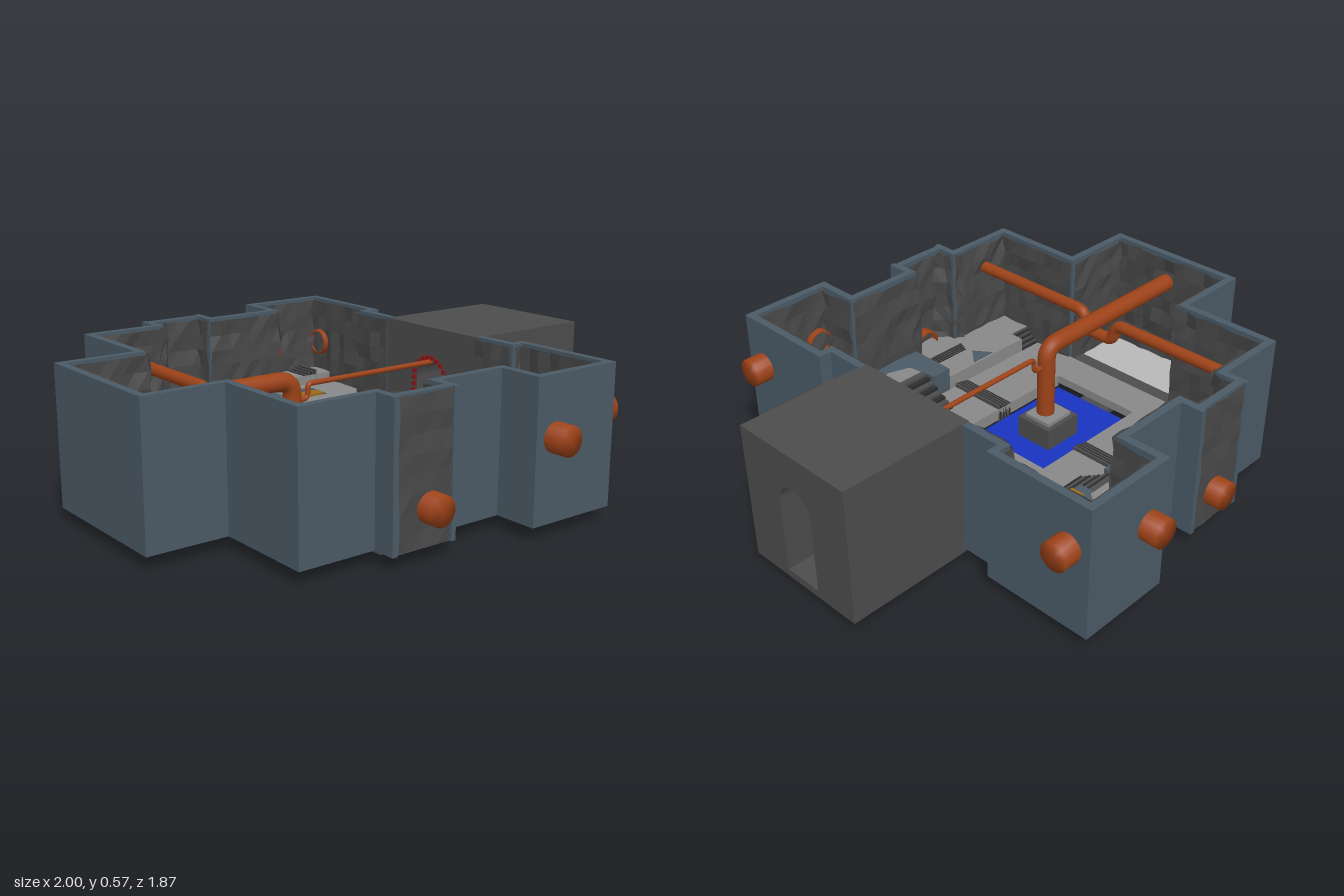
import * as THREE from 'three';

const mat = (color, extra = {}) => new THREE.MeshStandardMaterial({ color, ...extra });
const M = {
  slate: mat(0x4a5a66), rock: mat(0x484848, { flatShading: true, side: THREE.DoubleSide }),
  stone: mat(0x4c4c4c), floor: mat(0x888888), pale: mat(0xb8b8b8), dark: mat(0x2c2c2c),
  pipe: mat(0x9c4218, { side: THREE.DoubleSide }), water: mat(0x1833c0), red: mat(0x8a1418), wood: mat(0x9a6a18),
};

let seed = 7;
const rnd = () => (seed = (seed * 16807) % 2147483647) / 2147483647;

export function createModel() {
  const root = new THREE.Group();
  const add = (name, geo, material) => {
    const m = new THREE.Mesh(geo, material);
    m.name = name;
    root.add(m);
    return m;
  };
  // Box given by its x, y and z ranges
  const box = (name, x0, x1, y0, y1, z0, z1, material) =>
    add(name, new THREE.BoxGeometry(x1 - x0, y1 - y0, z1 - z0), material)
      .position.set((x0 + x1) / 2, (y0 + y1) / 2, (z0 + z1) / 2);
  // Upright prism over a plan of [x, z] points
  const slab = (name, pts, y0, y1, material, holes = []) => {
    const toV = (p) => new THREE.Vector2(p[0], -p[1]);
    const shape = new THREE.Shape(pts.map(toV));
    holes.forEach((h) => shape.holes.push(new THREE.Path(h.map(toV))));
    const geo = new THREE.ExtrudeGeometry(shape, { depth: y1 - y0, bevelEnabled: false });
    geo.rotateX(-Math.PI / 2).translate(0, y0, 0);
    return add(name, geo, material);
  };
  const rect = (x0, x1, z0, z1) => [[x0, z0], [x1, z0], [x1, z1], [x0, z1]];
  // Stub pipe, hollow at its inner end a and closed at its outer end b
  const stub = (name, a, b, r) => {
    const p = new THREE.Vector3(...a), q = new THREE.Vector3(...b), h = p.distanceTo(q) / 2;
    const profile = [[r * 0.85, -h], [r, -h], [r, h], [0, h]].map((c) => new THREE.Vector2(...c));
    const m = add(name, new THREE.LatheGeometry(profile, 20), M.pipe);
    m.position.copy(p).lerp(q, 0.5);
    m.quaternion.setFromUnitVectors(new THREE.Vector3(0, 1, 0), q.sub(p).normalize());
  };
  // Pipe along points, with rounded elbows
  const pipe = (name, pts, r, bend) => {
    const v = pts.map((p) => new THREE.Vector3(...p)), path = new THREE.CurvePath();
    const toward = (a, b) => a.clone().add(b.clone().sub(a).setLength(bend));
    let from = v[0];
    for (let i = 1; i < v.length - 1; i++) {
      const start = toward(v[i], v[i - 1]), end = toward(v[i], v[i + 1]);
      path.add(new THREE.LineCurve3(from, start));
      path.add(new THREE.QuadraticBezierCurve3(start, v[i], end));
      from = end;
    }
    path.add(new THREE.LineCurve3(from, v[v.length - 1]));
    add(name, new THREE.TubeGeometry(path, 120, r, 16), M.pipe);
  };
  // Rough sheet of rock from a to b in plan, bulging toward the normal n
  const rockSheet = (name, a, b, n, y0, y1, bulge) => {
    const len = Math.hypot(b[0] - a[0], b[1] - a[1]);
    const geo = new THREE.PlaneGeometry(len, y1 - y0, Math.max(2, Math.round(len / 0.05)), 8);
    const p = geo.attributes.position;
    for (let i = 0; i < p.count; i++) {
      const t = p.getX(i) / len + 0.5, y = p.getY(i) + (y0 + y1) / 2, d = 0.003 + rnd() * bulge;
      p.setXYZ(i, a[0] + (b[0] - a[0]) * t + n[0] * d, y, a[1] + (b[1] - a[1]) * t + n[1] * d);
    }
    geo.computeVertexNormals();
    add(name, geo, M.rock);
  };

  // Perimeter: front half of the plan, mirrored for the back
  const half = [[0.49, 0.26], [0.49, 0.42], [0.54, 0.42], [0.54, 0.865], [0.16, 0.865], [0.16, 0.695],
    [-0.12, 0.695], [-0.12, 0.775], [-0.39, 0.775], [-0.39, 0.695], [-0.69, 0.695], [-0.69, 0.3], [-1, 0.3]];
  const outer = [...half, ...half.slice().reverse().map(([x, z]) => [x, -z])];
  const normals = outer.slice(1).map((q, i) => {
    const dx = q[0] - outer[i][0], dz = q[1] - outer[i][1], l = Math.hypot(dx, dz);
    return [-dz / l, dx / l]; // pointing into the room
  });
  const T = 0.03, last = normals.length;
  const inner = outer.map((p, i) => {
    const a = normals[i - 1] ?? [0, 0], b = normals[i] ?? [0, 0];
    const n = [a[0] + b[0], a[1] + b[1]];
    return [p[0] + n[0] * T, p[1] + n[1] * T];
  });
  slab('perimeterWall', [...outer, ...inner.slice().reverse()], 0.05, 0.575, M.slate);
  for (let i = 0; i < last; i++) rockSheet('rockLining', inner[i], inner[i + 1], normals[i], 0.07, 0.565, 0.018);

  // Rock-filled niches with slate posts
  for (const s of [1, -1]) {
    rockSheet('nicheRock', [-0.365, s * 0.775], [-0.145, s * 0.775], [0, s], 0.055, 0.57, 0.01);
    rockSheet('nicheCornerRock', [-0.4, s * 0.65], [-0.31, s * 0.745], [0.7, -s * 0.7], 0.08, 0.57, 0.025);
    for (const x of [-0.39, -0.14]) {
      box('nichePost', x, x + 0.02, 0.05, 0.575, s * 0.775 - 0.01, s * 0.775 + 0.01, M.slate);
    }
  }

  // Floor slab with the pool cut out
  const plan = outer.filter(([x]) => x > -0.95);
  slab('floorSlab', plan, 0.05, 0.085, M.slate, [rect(-0.51, 0.46, -0.2, 0.2)]);
  box('poolWater', -0.51, 0.46, 0.052, 0.062, -0.2, 0.2, M.water);
  box('poolBridge', 0.02, 0.18, 0.062, 0.12, -0.2, 0.2, M.floor);
  box('annexFloor', -0.97, -0.73, 0.08, 0.1, -0.27, 0.27, M.pale);
  box('annexSill', -0.73, -0.66, 0.06, 0.11, -0.27, 0.27, M.stone);
  box('westWalk', -0.66, -0.51, 0.085, 0.12, -0.45, 0.45, M.floor);
  box('westFooting', -0.67, -0.5, 0.038, 0.06, -0.06, 0.08, M.stone);
  box('gateGrating', 0.36, 0.44, 0.062, 0.12, -0.2, 0.2, M.dark);
  box('gateStep', 0.28, 0.46, 0.062, 0.13, -0.06, 0.05, M.dark);

  // Flight of steps climbing along x or z from y0 to y1, mirrored by s
  const steps = (x0, x1, z0, z1, y0, y1, alongX, s) => {
    const n = 8, f = (a, b, k) => a + ((b - a) * k) / n;
    for (let i = 0; i < n; i++) {
      const [xa, xb] = alongX ? [f(x0, x1, i), f(x0, x1, i + 1)] : [x0, x1];
      const [za, zb] = alongX ? [z0, z1] : [f(z0, z1, i), f(z0, z1, i + 1)];
      box('step', xa, xb, 0.06, f(y0, y1, i + 1), Math.min(s * za, s * zb), Math.max(s * za, s * zb),
        i % 2 ? M.stone : M.dark);
    }
  };

  for (const s of [1, -1]) {
    const side = (name, pts, y1, material) => slab(name, s > 0 ? pts : pts.map(([x, z]) => [x, -z]), 0.07, y1, material);
    // Paved walks and terraces with worn outlines
    side('poolWalk', [[-0.51, 0.2], [0.3, 0.2], [0.26, 0.3], [0.32, 0.36], [0.3, 0.45], [0.2, 0.4], [0.1, 0.45],
      [-0.51, 0.45]], 0.12, M.floor);
    side('gateWalk', [[0.34, 0.2], [0.45, 0.2], [0.45, 0.45], [0.36, 0.45]], 0.125, M.floor);
    side('sideTerrace', [[-0.55, 0.45], [-0.12, 0.45], [-0.12, 0.74], [-0.35, 0.74], [-0.35, 0.66], [-0.66, 0.66],
      [-0.66, 0.51], [-0.55, 0.51]], 0.18, M.floor);
    side('terracePatch', [[-0.38, 0.46], [-0.27, 0.46], [-0.33, 0.53]], 0.183, M.slate);
    side('terraceLanding', [[-0.12, 0.45], [-0.03, 0.45], [-0.03, 0.51], [0.1, 0.51], [0.1, 0.45], [0.17, 0.45],
      [0.17, 0.665], [-0.12, 0.665]], 0.22, M.slate);
    side('terracePaving', [[-0.02, 0.515], [0.12, 0.515], [0.16, 0.57], [0.08, 0.6], [-0.01, 0.57]], 0.223, M.floor);
    side('towerFloor', rect(0.17, 0.5, 0.45, 0.7), 0.22, M.floor);
    side('towerPatch', [[0.18, 0.53], [0.33, 0.51], [0.34, 0.62], [0.26, 0.65], [0.19, 0.64]], 0.223, M.slate);
    side('towerUpperFloor', [[0.17, 0.73], [0.27, 0.73], [0.27, 0.7], [0.5, 0.7], [0.5, 0.835], [0.17, 0.835]],
      0.26, M.floor);
    steps(-0.22, -0.15, 0.2, 0.45, 0.12, 0.135, true, s);
    steps(-0.03, 0.1, 0.34, 0.51, 0.12, 0.22, false, s);
    steps(-0.66, -0.55, 0.45, 0.51, 0.12, 0.18, false, s);
    steps(-0.32, -0.14, 0.56, 0.59, 0.18, 0.2, false, s);
    steps(0.27, 0.34, 0.34, 0.45, 0.12, 0.22, false, s);
    steps(0.18, 0.27, 0.65, 0.73, 0.22, 0.26, false, s);
    steps(0.35, 0.42, 0.7, 0.82, 0.26, 0.28, true, s);
    box('plank', 0.16, 0.28, 0.235, 0.245, s * 0.49 - 0.027, s * 0.49 + 0.027, s > 0 ? M.pale : M.wood);
    // Footing under the terrace
    box('footing', -0.32, -0.15, 0, 0.06, s * 0.595 - 0.042, s * 0.595 + 0.042, M.stone);
    // Outlet pipes through the walls
    stub('nichePipe', [-0.235, 0.19, s * 0.7], [-0.235, 0.19, s * 0.845], 0.055);
    stub('towerEndPipe', [0.25, 0.355, s * 0.8], [0.25, 0.355, s * 0.935], 0.055);
    stub('towerSidePipe', [0.48, 0.385, s * 0.775], [0.61, 0.385, s * 0.775], 0.055);
  }

  // Gatehouse block with an arched passage along x
  const zc = 0.01, arch = (path, r) => {
    path.moveTo(-zc - r, 0.06).lineTo(-zc + r, 0.06).lineTo(-zc + r, 0.36);
    path.absarc(-zc, 0.36, r, 0, Math.PI, false);
    return path.lineTo(-zc - r, 0.06);
  };
  const face = new THREE.Shape([[-0.27, 0.03], [0.255, 0.03], [0.255, 0.573], [-0.27, 0.573]]
    .map((p) => new THREE.Vector2(...p)));
  face.holes.push(arch(new THREE.Path(), 0.08));
  const gate = new THREE.ExtrudeGeometry(face, { depth: 0.54, bevelEnabled: false, curveSegments: 16 });
  add('gatehouse', gate.rotateY(Math.PI / 2).translate(0.455, 0, 0), M.stone);
  box('gateThreshold', 0.35, 0.54, 0.035, 0.06, -0.07, 0.09, M.dark);
  // Red studs around the inner arch
  for (const p of arch(new THREE.Path(), 0.092).getSpacedPoints(40)) {
    if (p.y > 0.12) box('archStud', 0.445, 0.456, p.y - 0.008, p.y + 0.008, -p.x - 0.008, -p.x + 0.008, M.red);
  }
  box('archSillRail', 0.446, 0.455, 0.13, 0.138, zc - 0.08, zc + 0.08, M.red);

  // Main pipe: along the annex, then down into its plinth
  pipe('mainPipe', [[-0.96, 0.46, zc], [-0.22, 0.46, zc], [-0.22, 0.1, zc]], 0.035, 0.06);
  box('plinth', -0.31, -0.14, 0.03, 0.15, -0.08, 0.08, M.stone);
  box('plinthCap', -0.29, -0.16, 0.15, 0.165, -0.06, 0.06, M.floor);
  // Cross pipe dips below the main pipe
  pipe('crossPipe', [[-0.535, 0.46, -0.66], [-0.535, 0.46, -0.075], [-0.535, 0.385, -0.055],
    [-0.535, 0.385, 0.075], [-0.535, 0.46, 0.095], [-0.535, 0.46, 0.66]], 0.024, 0.03);
  // Thin feed pipe from the main pipe to the gatehouse
  pipe('thinPipe', [[-0.21, 0.38, zc], [-0.15, 0.38, zc], [-0.15, 0.435, zc], [0.46, 0.435, zc]], 0.01, 0.02);

  return root;
}
